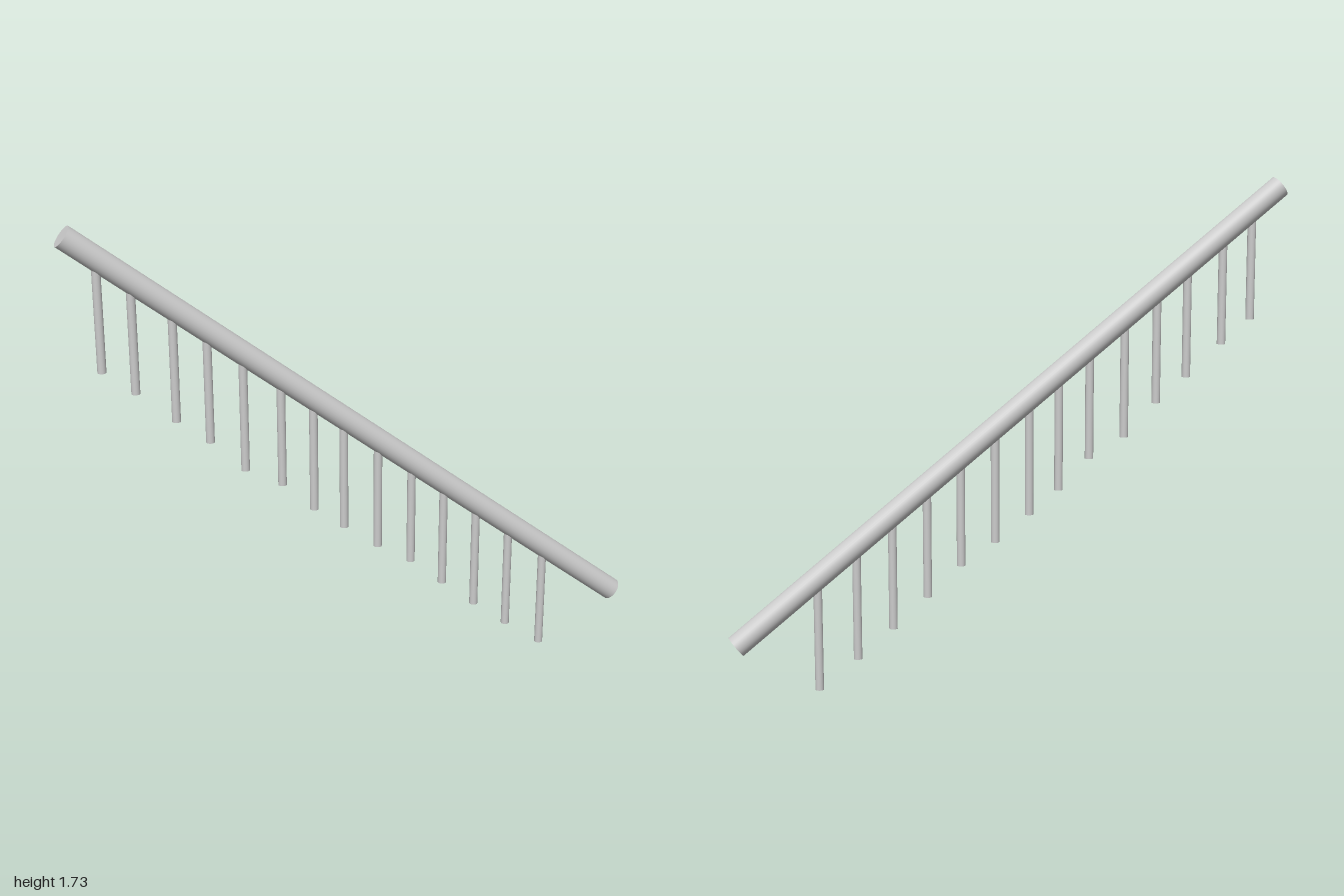
import * as THREE from 'three';

const material = new THREE.MeshStandardMaterial({ color: 0xcccccc });

// Capped cylinder running between two points
function rod(name, from, to, radius, sides) {
  const axis = to.clone().sub(from);
  const mesh = new THREE.Mesh(new THREE.CylinderGeometry(radius, radius, axis.length(), sides), material);
  mesh.name = name;
  mesh.position.copy(from).add(to).multiplyScalar(0.5);
  mesh.quaternion.setFromUnitVectors(new THREE.Vector3(0, 1, 0), axis.normalize());
  return mesh;
}

export function createModel() {
  const model = new THREE.Group();
  model.name = 'stairHandrail';

  // Sloping handrail
  const top = new THREE.Vector3(-0.975, 1.703, 0);
  const bottom = new THREE.Vector3(0.975, 0.178, 0);
  model.add(rod('handrail', top, bottom, 0.04, 32));

  // Balusters: x and foot height, each reaching up to the rail's axis
  const feet = [
    [-0.874, 1.235], [-0.767, 1.15], [-0.636, 1.037], [-0.524, 0.949], [-0.406, 0.832],
    [-0.278, 0.762], [-0.166, 0.655], [-0.059, 0.573], [0.064, 0.482], [0.187, 0.406],
    [0.307, 0.302], [0.43, 0.198], [0.556, 0.099], [0.692, 0],
  ];
  const balusters = new THREE.Group();
  balusters.name = 'balusters';
  for (const [x, y] of feet) {
    const railPoint = top.clone().lerp(bottom, (x - top.x) / (bottom.x - top.x));
    const foot = new THREE.Vector3(x, y, 0.004);
    balusters.add(rod('baluster', foot, railPoint.setZ(0.004), 0.015, 16));
  }
  model.add(balusters);
  return model;
}
